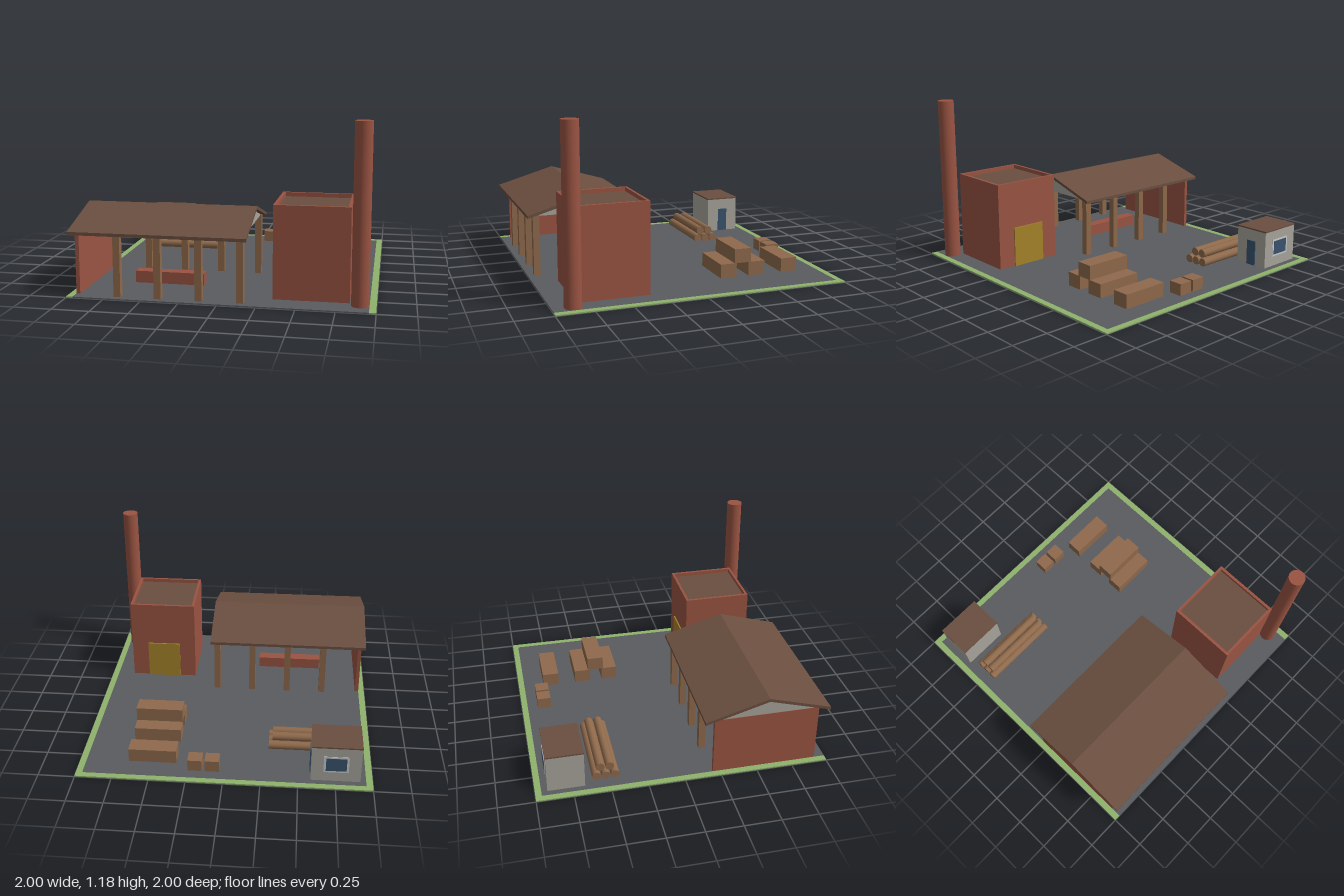
import * as THREE from 'three';

const mat = (color) => new THREE.MeshStandardMaterial({ color });
const BRICK = mat(0x9a5442), ROOF = mat(0x6b4f40), WOOD = mat(0x8f6a4c), ASPHALT = mat(0x5a5b60),
  GRASS = mat(0x8fb26c), PLASTER = mat(0xa8a59c), GLASS = mat(0x3a5470), YELLOW = mat(0xa5832a),
  FRAME = mat(0xc4c6c4);

export function createModel() {
  const model = new THREE.Group();

  const add = (name, geometry, material, parent = model) => {
    const mesh = new THREE.Mesh(geometry, material);
    mesh.name = name;
    parent.add(mesh);
    return mesh;
  };
  // Box given by its limits on each axis
  const box = (name, material, [x0, x1], [y0, y1], [z0, z1], parent) => {
    const g = new THREE.BoxGeometry(x1 - x0, y1 - y0, z1 - z0);
    g.translate((x0 + x1) / 2, (y0 + y1) / 2, (z0 + z1) / 2);
    return add(name, g, material, parent);
  };
  const group = (name) => {
    const g = new THREE.Group();
    g.name = name;
    model.add(g);
    return g;
  };
  // Symmetric cross-section (across z, up y) swept along x
  const sweep = (name, material, points, x0, x1, z, parent) => {
    const shape = new THREE.Shape(points.map(([a, b]) => new THREE.Vector2(a, b)));
    const g = new THREE.ExtrudeGeometry(shape, { depth: x1 - x0, bevelEnabled: false });
    g.rotateY(Math.PI / 2);
    g.translate(x0, 0, z);
    return add(name, g, material, parent);
  };

  // Yard with grass on three sides
  const G = 0.008;
  const yard = group('yard');
  box('asphalt', ASPHALT, [-0.956, 0.956], [0, G], [-0.958, 1], yard);
  box('backGrass', GRASS, [-1, 1], [0, G], [-1, -0.958], yard);
  for (const s of [-1, 1]) {
    const xs = s < 0 ? [-1, -0.956] : [0.956, 1];
    box('sideGrass', GRASS, xs, [0, G], [-0.958, 1], yard);
  }

  // Brick kiln house with parapet, flat roof and yellow door
  const house = group('kilnHouse');
  box('houseWalls', BRICK, [0.335, 0.83], [G, 0.595], [0.335, 0.828], house);
  box('flatRoof', ROOF, [0.353, 0.812], [0.595, 0.6], [0.353, 0.81], house);
  for (const [a, b] of [[0.335, 0.355], [0.81, 0.83]]) {
    box('parapetSide', BRICK, [a, b], [0.595, 0.628], [0.335, 0.828], house);
    box('parapetEnd', BRICK, [0.355, 0.81], [0.595, 0.628], [a, b - 0.002], house);
  }
  box('houseDoor', YELLOW, [0.455, 0.705], [G, 0.295], [0.325, 0.337], house);

  // Tall chimney
  const chimney = add('chimney', new THREE.CylinderGeometry(0.057, 0.057, 1.167, 32), BRICK);
  chimney.position.set(0.897, G + 0.5835, 0.865);

  // Open shed: gable roof, end wall, gables and two rows of posts
  const shed = group('openShed');
  const Z = 0.563;
  sweep('shedRoof', ROOF, [[-0.433, 0.417], [0, 0.543], [0.433, 0.417], [0.433, 0.438], [0, 0.565], [-0.433, 0.438]],
    -0.983, 0.19, Z, shed);
  box('endWall', BRICK, [-0.956, -0.93], [G, 0.428], [0.2, 0.926], shed);
  for (const x of [-0.953, 0.133]) {
    sweep('gable', PLASTER, [[-0.375, 0.425], [0.375, 0.425], [0.375, 0.435], [0, 0.545], [-0.375, 0.435]],
      x, x + 0.02, Z, shed);
  }
  for (let i = 0; i < 4; i++) {
    const x = -0.668 + i * 0.27;
    for (const z of [0.193, 0.933]) {
      box('shedPost', WOOD, [x - 0.023, x + 0.023], [G, 0.435], [z - 0.023, z + 0.023], shed);
    }
  }
  box('workBench', BRICK, [-0.65, -0.168], [G, 0.09], [0.52, 0.6], shed);

  // Small office hut
  const hut = group('officeHut');
  box('hutWalls', PLASTER, [-0.917, -0.585], [G, 0.272], [-0.918, -0.666], hut);
  box('hutRoof', ROOF, [-0.92, -0.583], [0.272, 0.282], [-0.921, -0.663], hut);
  box('hutDoor', GLASS, [-0.59, -0.579], [G, 0.19], [-0.83, -0.756], hut);
  box('windowFrame', FRAME, [-0.835, -0.667], [0.08, 0.205], [-0.921, -0.91], hut);
  box('windowPane', GLASS, [-0.82, -0.682], [0.093, 0.192], [-0.923, -0.91], hut);

  // Log pile: three below, two above
  const logs = group('logPile');
  const addLog = (x0, x1, y, z) => {
    const g = new THREE.CylinderGeometry(0.03, 0.03, x1 - x0, 16);
    g.rotateZ(Math.PI / 2);
    add('log', g, WOOD, logs).position.set((x0 + x1) / 2, y, z);
  };
  for (const z of [-0.583, -0.52, -0.457]) addLog(-0.875, -0.292, 0.036, z);
  for (const z of [-0.553, -0.488]) addLog(-0.85, -0.318, 0.09, z);

  // Stacks of sawn timber
  const timber = group('timberStacks');
  const long = [0.333, 0.663];
  box('timberStack', WOOD, long, [G, 0.105], [-0.35, -0.232], timber);
  box('timberStack', WOOD, long, [0.105, 0.204], [-0.456, -0.336], timber);
  box('timberStack', WOOD, long, [G, 0.105], [-0.56, -0.44], timber);
  box('timberStack', WOOD, long, [G, 0.105], [-0.81, -0.69], timber);
  for (const x of [0.033, 0.15]) {
    box('crate', WOOD, [x, x + 0.098], [G, 0.09], [-0.883, -0.785], timber);
  }

  return model;
}
